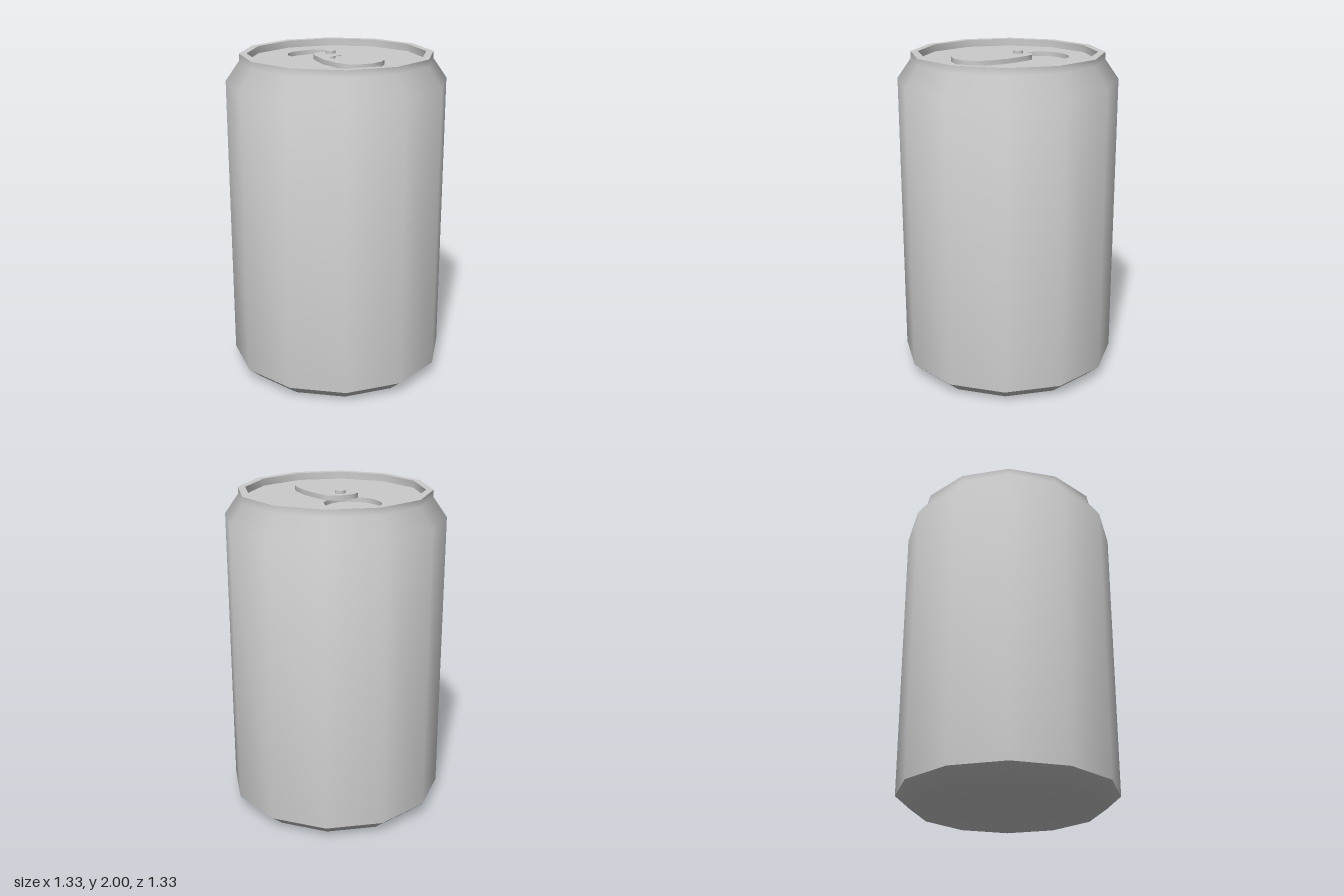
import * as THREE from 'three';
import { toCreasedNormals } from 'three/addons/utils/BufferGeometryUtils.js';

const SIDES = 12;
const LID_Y = 1.953;
const CREASE = THREE.MathUtils.degToRad(45);

// Closed outline mirrored in x, from [x, z] points of the +x half (back to front).
function mirrored(half) {
  const left = half.filter(([x]) => x > 0).reverse().map(([x, z]) => [-x, z]);
  return [...half, ...left].map(([x, z]) => new THREE.Vector2(x, -z));
}

// Flat plate lying in the xz plane, from y = bottom to y = bottom + depth.
function plate(outline, hole, bottom, depth) {
  const shape = new THREE.Shape(outline);
  if (hole) shape.holes.push(new THREE.Path(hole));
  const geometry = new THREE.ExtrudeGeometry(shape, { depth, bevelEnabled: false });
  geometry.rotateX(-Math.PI / 2).translate(0, bottom, 0);
  return toCreasedNormals(geometry, CREASE);
}

export function createModel() {
  const group = new THREE.Group();
  const material = new THREE.MeshStandardMaterial({ color: 0xcccccc });
  const add = (name, geometry) => {
    const mesh = new THREE.Mesh(geometry, material);
    mesh.name = name;
    group.add(mesh);
  };

  // Body: base, lower chamfer, wall, neck, rim and the inside of the rim
  const profile = [
    [0, 0], [0.58, 0], [0.667, 0.075], [0.667, 1.835],
    [0.583, 1.955], [0.583, 1.997], [0.538, 1.997], [0.538, LID_Y - 0.01],
  ].map(([x, y]) => new THREE.Vector2(x, y));
  add('canBody', toCreasedNormals(new THREE.LatheGeometry(profile, SIDES), CREASE));

  // Recessed lid with the sunken mouth panel
  const rim = Array.from({ length: SIDES }, (_, i) => {
    const a = (i / SIDES) * Math.PI * 2;
    return new THREE.Vector2(0.538 * Math.cos(a), 0.538 * Math.sin(a));
  });
  const mouth = mirrored([
    [0, -0.395], [0.065, -0.388], [0.125, -0.355], [0.16, -0.295], [0.163, -0.22],
    [0.145, -0.15], [0.1, -0.1], [0.05, -0.07], [0, -0.06],
  ]);
  add('lid', plate(rim, mouth, LID_Y - 0.03, 0.03));
  add('mouthPanel', plate(mouth, null, LID_Y - 0.04, 0.012));

  // Pull tab with its finger hole
  const tab = mirrored([
    [0, -0.137], [0.055, -0.135], [0.096, -0.112], [0.12, -0.06], [0.157, 0.09],
    [0.157, 0.225], [0.136, 0.29], [0.08, 0.337], [0, 0.354],
  ]);
  const fingerHole = mirrored([
    [0, 0.021], [0.06, 0.033], [0.1, 0.068], [0.115, 0.12], [0.115, 0.19],
    [0.102, 0.265], [0.065, 0.305], [0, 0.318],
  ]);
  add('pullTab', plate(tab, fingerHole, LID_Y, 0.029));

  // Rivet holding the tab
  const rivet = new THREE.CylinderGeometry(0.031, 0.031, 0.047, 12);
  rivet.translate(0, 2 - 0.0235, -0.07);
  add('rivet', rivet);

  return group;
}
